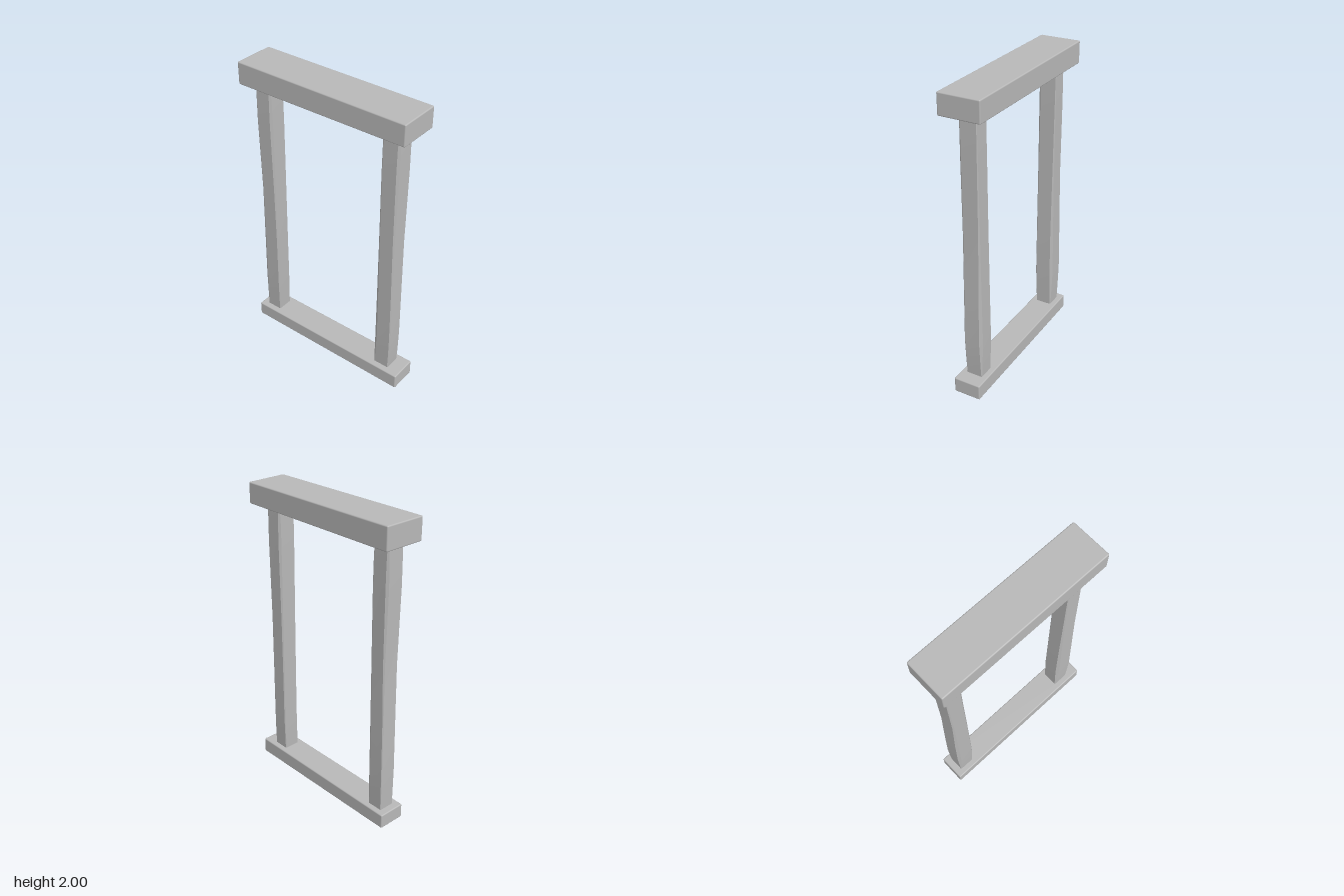
import * as THREE from 'three';
import { toCreasedNormals } from 'three/addons/utils/BufferGeometryUtils.js';
import { RoundedBoxGeometry } from 'three/addons/geometries/RoundedBoxGeometry.js';

const stone = new THREE.MeshStandardMaterial({ color: 0xb8b8b8 });
stone.name = 'grey stone';

// Softly bevelled beam; its upper side may tilt by `tilt` along z
function beam(name, [x0, x1], [y0, y1], [z0, z1], tilt) {
  const geo = new RoundedBoxGeometry(x1 - x0, y1 - y0, z1 - z0, 2, 0.008);
  geo.translate((x0 + x1) / 2, (y0 + y1) / 2, (z0 + z1) / 2);
  const p = geo.attributes.position;
  for (let i = 0; i < p.count; i++) {
    const up = (p.getY(i) - y0) / (y1 - y0);
    const along = (p.getZ(i) - z0) / (z1 - z0);
    const drop = tilt > 0 ? along * tilt : (along - 1) * tilt;
    p.setY(i, p.getY(i) - up * drop);
  }
  const mesh = new THREE.Mesh(geo, stone);
  mesh.name = name;
  return mesh;
}

// Hewn post lofted from eight-sided sections.
// Each level: y, half width, back z, front z, front chamfer, back chamfer
function post(name, levels) {
  const pos = [], idx = [];
  for (const [y, w, z0, z1, f, b] of levels) {
    const ring = [
      [w - f * 0.7, z1], [w, z1 - f], [w, z0 + b], [w - b, z0],
      [-w + f * 0.7, z0], [-w, z0 + f], [-w, z1 - b], [-w + b, z1],
    ];
    for (const [x, z] of ring) pos.push(x, y, z);
  }
  for (let l = 0; l < levels.length - 1; l++) {
    for (let i = 0; i < 8; i++) {
      const a = l * 8 + i, b = l * 8 + (i + 1) % 8;
      idx.push(a, b, b + 8, a, b + 8, a + 8);
    }
  }
  const geo = new THREE.BufferGeometry();
  geo.setAttribute('position', new THREE.Float32BufferAttribute(pos, 3));
  geo.setIndex(idx);
  const mesh = new THREE.Mesh(toCreasedNormals(geo, 0.45), stone);
  mesh.name = name;
  return mesh;
}

export function createModel() {
  const group = new THREE.Group();
  group.name = 'post frame';

  // Lintel and sill
  group.add(beam('topBeam', [-0.138, 0.134], [1.855, 2], [-0.596, 0.588], 0.009));
  group.add(beam('bottomBeam', [-0.093, 0.09], [0, 0.104], [-0.586, 0.596], -0.006));

  // Uprights, running slightly into both beams
  group.add(post('frontPost', [
    [0.08, 0.053, 0.398, 0.503, 0.004, 0.003],
    [0.2, 0.057, 0.395, 0.51, 0.012, 0.004],
    [0.36, 0.061, 0.393, 0.515, 0.022, 0.005],
    [0.7, 0.059, 0.393, 0.511, 0.017, 0.006],
    [1.1, 0.058, 0.394, 0.505, 0.01, 0.008],
    [1.6, 0.06, 0.394, 0.508, 0.006, 0.013],
    [1.75, 0.059, 0.395, 0.507, 0.004, 0.012],
    [1.88, 0.057, 0.397, 0.504, 0.003, 0.005],
  ]));
  group.add(post('backPost', [
    [0.08, 0.053, -0.538, -0.432, 0.004, 0.003],
    [0.2, 0.057, -0.541, -0.428, 0.012, 0.003],
    [0.36, 0.061, -0.545, -0.424, 0.02, 0.004],
    [0.7, 0.059, -0.54, -0.422, 0.017, 0.005],
    [1.1, 0.058, -0.531, -0.422, 0.01, 0.008],
    [1.6, 0.06, -0.538, -0.422, 0.006, 0.014],
    [1.75, 0.059, -0.536, -0.424, 0.004, 0.012],
    [1.88, 0.057, -0.533, -0.427, 0.003, 0.005],
  ]));
  return group;
}
